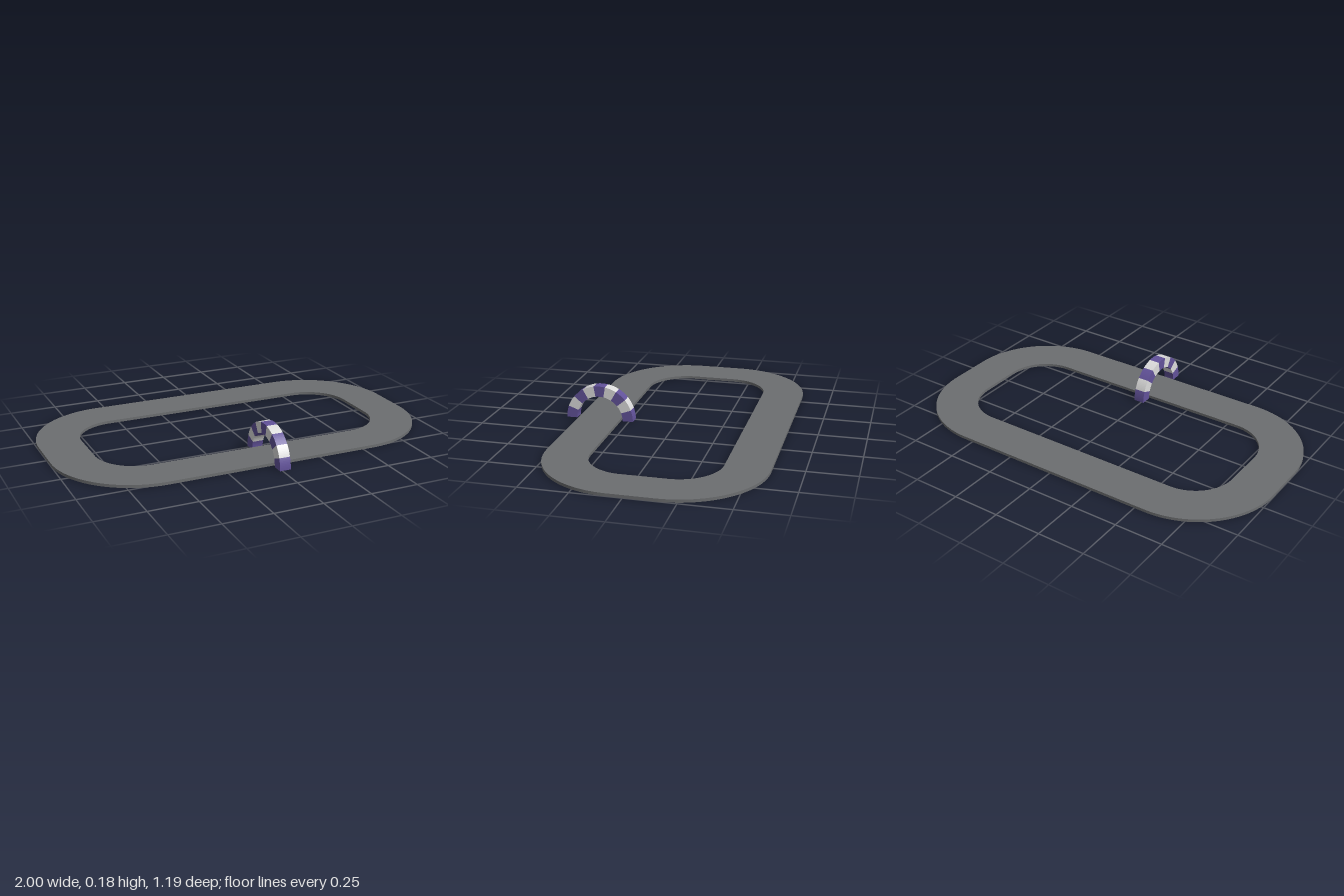
import * as THREE from 'three';

// Rounded rectangle centred on the origin, added to a shape or hole path
function roundedRect(path, halfW, halfH, r) {
  const x = halfW - r, y = halfH - r;
  path.moveTo(halfW, -y);
  path.absarc(x, y, r, 0, Math.PI / 2);
  path.absarc(-x, y, r, Math.PI / 2, Math.PI);
  path.absarc(-x, -y, r, Math.PI, Math.PI * 1.5);
  path.absarc(x, -y, r, Math.PI * 1.5, Math.PI * 2);
  return path;
}

export function createModel() {
  const model = new THREE.Group();
  const asphalt = new THREE.MeshStandardMaterial({ name: 'asphalt grey', color: 0x6c6e70 });
  const purple = new THREE.MeshStandardMaterial({ name: 'purple', color: 0x62529a });
  const white = new THREE.MeshStandardMaterial({ name: 'off white', color: 0xdcdcdc });

  // Flat ring of road
  const ring = roundedRect(new THREE.Shape(), 1, 0.557, 0.445);
  ring.holes.push(roundedRect(new THREE.Path(), 0.775, 0.332, 0.22));
  const roadGeometry = new THREE.ExtrudeGeometry(ring, {
    depth: 0.015, bevelEnabled: false, curveSegments: 24,
  });
  roadGeometry.rotateX(-Math.PI / 2);
  const road = new THREE.Mesh(roadGeometry, asphalt);
  road.name = 'road';
  road.position.z = -0.038;
  model.add(road);

  // Half-round arch over the road, in alternating coloured blocks
  const arch = new THREE.Group();
  arch.name = 'arch';
  arch.position.set(0.045, 0, 0.412);
  const blocks = 9, step = Math.PI / blocks;
  for (let i = 0; i < blocks; i++) {
    const a = i * step, b = a + step;
    const wedge = new THREE.Shape();
    wedge.absarc(0, 0, 0.184, a, b, false);
    wedge.absarc(0, 0, 0.127, b, a, true);
    const geometry = new THREE.ExtrudeGeometry(wedge, {
      depth: 0.058, bevelEnabled: false, curveSegments: 4,
    });
    geometry.rotateY(-Math.PI / 2);
    const block = new THREE.Mesh(geometry, i % 2 ? white : purple);
    block.name = 'archBlock' + (i + 1);
    arch.add(block);
  }
  model.add(arch);
  return model;
}
